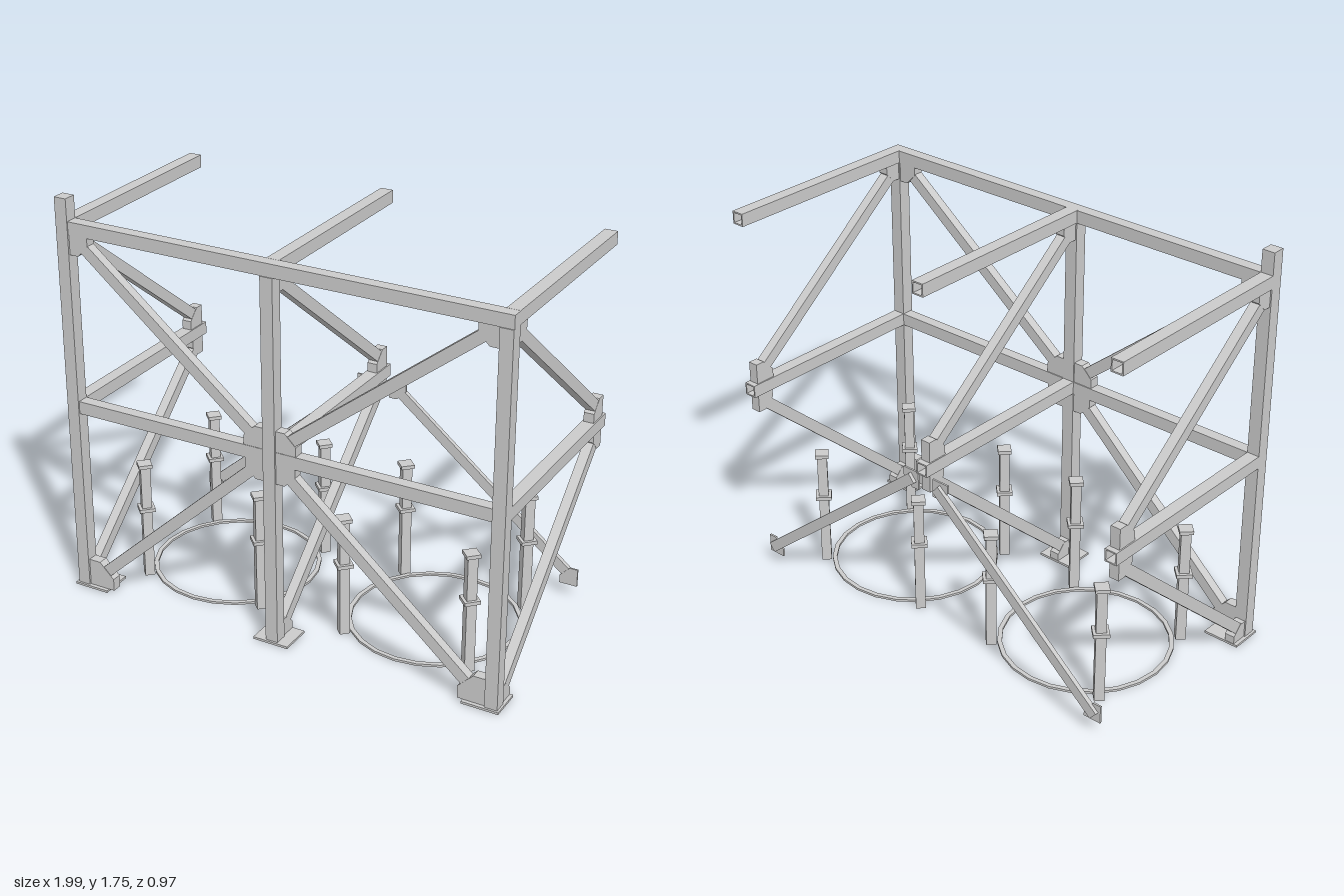
import * as THREE from 'three';

const material = new THREE.MeshStandardMaterial({ color: 0xcccccc, flatShading: true });
const T = 0.055; // tube width

export function createModel() {
  const model = new THREE.Group();

  const add = (geometry, name, x = 0, y = 0, z = 0) => {
    const mesh = new THREE.Mesh(geometry, material);
    mesh.name = name;
    mesh.position.set(x, y, z);
    model.add(mesh);
    return mesh;
  };

  // Box given by its lower and upper limits
  const box = (name, x0, x1, y0, y1, z0, z1) =>
    add(new THREE.BoxGeometry(x1 - x0, y1 - y0, z1 - z0), name,
      (x0 + x1) / 2, (y0 + y1) / 2, (z0 + z1) / 2);

  // Straight bar between two points
  const bar = (name, a, b, thick, wide) => {
    const from = new THREE.Vector3(...a), to = new THREE.Vector3(...b);
    const mesh = add(new THREE.BoxGeometry(thick, wide, from.distanceTo(to)), name);
    mesh.position.copy(from).add(to).multiplyScalar(0.5);
    mesh.lookAt(to);
  };

  // Corner plate with one clipped corner, growing from (u, v) in direction (su, sv)
  const gussetShape = (u, v, su, sv, s) => new THREE.Shape(
    [[0, 0], [1, 0], [1, 0.45], [0.45, 1], [0, 1]]
      .map(([a, b]) => new THREE.Vector2(u + a * s * su, v + b * s * sv)));
  const plate = (shape, depth) => new THREE.ExtrudeGeometry(shape, { depth, bevelEnabled: false })
    .translate(0, 0, -depth / 2);
  const frontGusset = (u, v, su, sv, z = 0.446, s = 0.085, depth = 0.044) =>
    add(plate(gussetShape(u, v, su, sv, s), depth), 'gusset', 0, 0, z);
  // Side plates are drawn in (-z, y) and turned into the side plane
  const sideGusset = (x, z, y, sz, sy, s) => {
    add(plate(gussetShape(-z, y, -sz, sy, s), 0.044), 'sideGusset', x).rotation.y = Math.PI / 2;
  };

  // Open square tube running along z
  const half = T / 2, inner = half - 0.006;
  const square = (C, h) => new C([[-h, -h], [h, -h], [h, h], [-h, h]].map(p => new THREE.Vector2(...p)));
  const tubeShape = square(THREE.Shape, half);
  tubeShape.holes.push(square(THREE.Path, inner));
  const arm = (name, x, y) =>
    add(new THREE.ExtrudeGeometry(tubeShape, { depth: 0.909, bevelEnabled: false }), name, x, y, -0.485);

  // Three side frames: post, foot, two arms and braces
  const posts = [[-0.96, 1.75], [-0.025, 1.6], [0.957, 1.6]];
  posts.forEach(([x, height], i) => {
    box('post', x - half, x + half, 0, height, 0.42, 0.476);
    const px = [-0.918, -0.027, 0.913][i];
    box('footPlate', px - 0.08, px + 0.08, 0, 0.01, 0.345, 0.485);
    arm('upperArm', x, 1.628);
    arm('middleArm', x, 0.848);
    bar('upperSideBrace', [x, 1.565, 0.4], [x, 0.925, -0.42], 0.042, 0.048);
    bar('lowerSideBrace', [x, 0.05, 0.4], [x, 0.775, -0.42], 0.042, 0.048);
    sideGusset(x, 0.422, 1.6, -1, -1, 0.075);
    sideGusset(x, 0.422, 0.01, -1, 1, 0.075);
    sideGusset(x, -0.461, 0.875, 1, 1, 0.09);
    sideGusset(x, -0.461, 0.82, 1, -1, 0.08);
  });

  // Front rails
  box('topRail', -0.935, 0.985, 1.6, 1.655, 0.42, 0.472);
  box('middleRail', -0.935, 0.935, 0.82, 0.875, 0.42, 0.47);

  // Front and back bracing of both bays
  const bays = [
    { outer: -0.932, centre: -0.053, s: 1 },
    { outer: 0.929, centre: 0.003, s: -1 },
  ];
  for (const { outer, centre, s } of bays) {
    const o = outer + s * 0.035, c = centre - s * 0.035;
    bar('upperFrontBrace', [o, 1.575, 0.446], [c, 0.91, 0.446], 0.04, 0.048);
    bar('lowerFrontBrace', [o, 0.045, 0.446], [c, 0.79, 0.446], 0.04, 0.048);
    frontGusset(outer, 1.6, s, -1);
    frontGusset(outer, 0.01, s, 1, 0.446, 0.12);
    frontGusset(centre, 0.875, -s, 1, 0.446, 0.09);
    frontGusset(centre, 0.82, -s, -1);

    bar('backBrace', [o, 0.085, -0.47], [c, 0.78, -0.47], 0.02, 0.045);
    frontGusset(outer + s * 0.01, 0.055, s, 1, -0.461, 0.08, 0.008);
    frontGusset(centre - s * 0.01, 0.81, -s, -1, -0.461, 0.08, 0.008);
  }

  // Floor rings, each with four stub posts turned by 45 degrees
  const ringProfile = [[0.347, 0], [0.366, 0], [0.366, 0.01], [0.347, 0.01], [0.347, 0]]
    .map(p => new THREE.Vector2(...p));
  for (const cx of [-0.493, 0.47]) {
    add(new THREE.LatheGeometry(ringProfile, 24), 'floorRing', cx, 0, -0.017);
    for (const sx of [-1, 1]) for (const sz of [-1, 1]) {
      const stub = (name, size, y0, y1) => {
        const mesh = add(new THREE.BoxGeometry(size, y1 - y0, size), name,
          cx + sx * 0.283, (y0 + y1) / 2, -0.016 + sz * 0.271);
        mesh.rotation.y = Math.PI / 4;
      };
      stub('stubPost', 0.042, 0, 0.525);
      stub('stubCollar', 0.067, 0.313, 0.329);
      stub('stubCap', 0.058, 0.519, 0.535);
    }
  }
  return model;
}
